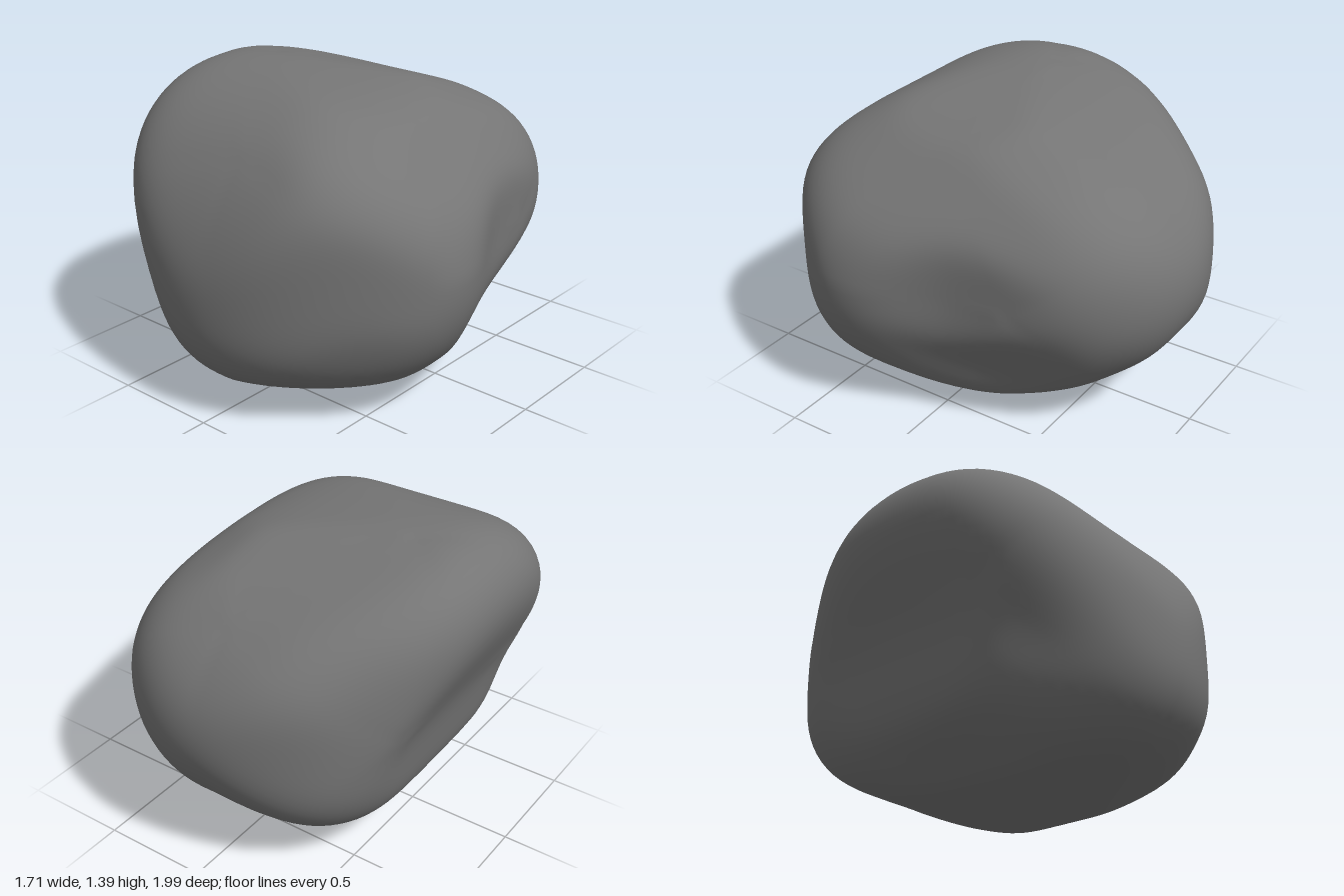
import * as THREE from 'three';
import { mergeVertices } from 'three/addons/utils/BufferGeometryUtils.js';

const CENTRE_Y = 0.69;

// A smooth closed outline around the boulder's centre, in a plane turned and tilted in degrees
function outline(turn, tilt, coords) {
  const a = THREE.MathUtils.degToRad(turn), e = THREE.MathUtils.degToRad(tilt);
  const knots = [];
  for (let i = 0; i < coords.length; i += 2) knots.push(new THREE.Vector3(coords[i], coords[i + 1], 0));
  return {
    u: new THREE.Vector3(Math.cos(a), 0, -Math.sin(a)),
    v: new THREE.Vector3(-Math.sin(a) * Math.sin(e), Math.cos(e), -Math.cos(a) * Math.sin(e)),
    points: new THREE.CatmullRomCurve3(knots, true).getPoints(48).slice(0, -1),
  };
}

// Width and height: high shoulder on one side, undercut below it
const face = outline(0, 0, [
  -.87, .49, -.73, .66, -.1, .67, .44, .55, .8, .21, .85, -.2, .51, -.6, -.07, -.69,
  -.54, -.54, -.68, -.06]);

// Depth and height: steep front, sloping back
const flank = outline(-90, 0, [
  1.01, -.19, .89, .23, .6, .56, .18, .69, -.37, .59, -.82, .36, -1.01, .03, -.8, -.39,
  -.05, -.69, .76, -.59, .95, -.45]);

// Width and depth
const plan = outline(0, -90, [
  .02, -1.01, -.48, -.79, -.81, -.27, -.87, .23, -.73, .74, -.02, 1, .48, .82, .87, .35,
  .71, -.13, .58, -.69, .3, -.94]);

// Slanted outlines trim the corners and the undercut
const frontSlant = outline(35, 25, [
  -1.03, .3, -.82, .68, -.4, .82, .65, .55, .85, .38, .86, .05, .59, -.41, .43, -.69,
  -.2, -.81, -.68, -.71, -.88, -.3]);
const backSlant = outline(215, 25, [
  -.87, -.02, -.8, .2, -.5, .5, -.02, .76, .4, .71, .97, .52, 1.01, .3, .84, -.1,
  .73, -.38, .33, -.68, -.05, -.78, -.52, -.64, -.82, -.32]);
const underSlant = outline(145, -25, [
  -.97, .05, -.72, .44, .15, .72, .76, .51, .87, .11, .77, -.34, .25, -.68, -.22, -.88,
  -.65, -.73, -.86, -.41]);

const outlines = [face, flank, plan, frontSlant, backSlant, underSlant];

// How far a direction can reach before its projection leaves the outline
function reach({ u, v, points }, dir) {
  const x = dir.dot(u), y = dir.dot(v);
  if (Math.hypot(x, y) < 1e-5) return Infinity;
  for (let i = 0; i < points.length; i++) {
    const a = points[i], b = points[(i + 1) % points.length];
    const area = a.x * b.y - a.y * b.x, s = Math.sign(area);
    if ((a.x * y - a.y * x) * s >= -1e-9 && (x * b.y - y * b.x) * s >= -1e-9) {
      return area / (x * (b.y - a.y) - y * (b.x - a.x));
    }
  }
  return Infinity;
}

// Average every radius with its neighbours to round the stone off
function soften(radii, index, passes) {
  const links = radii.map(() => new Set());
  for (let i = 0; i < index.count; i += 3) {
    for (let k = 0; k < 3; k++) {
      const a = index.getX(i + k), b = index.getX(i + (k + 1) % 3);
      links[a].add(b);
      links[b].add(a);
    }
  }
  for (let p = 0; p < passes; p++) {
    radii = radii.map((r, i) => {
      let sum = 0;
      for (const j of links[i]) sum += radii[j];
      return 0.4 * r + 0.6 * sum / links[i].size;
    });
  }
  return radii;
}

// Push a ball's vertices out to the nearest outline, wear the ridges down, then soften
function boulderGeometry() {
  const ball = new THREE.IcosahedronGeometry(1, 24);
  ball.deleteAttribute('uv');
  ball.deleteAttribute('normal');
  const geometry = mergeVertices(ball, 1e-4);
  const pos = geometry.attributes.position;
  const dirs = [];
  for (let i = 0; i < pos.count; i++) dirs.push(new THREE.Vector3().fromBufferAttribute(pos, i).normalize());

  const raw = dirs.map((d) => Math.min(...outlines.map((o) => reach(o, d))));
  const worn = soften(raw, geometry.index, 30).map((r, i) => Math.min(raw[i], r * 1.012));
  const radii = soften(worn, geometry.index, 8);
  dirs.forEach((d, i) => pos.setXYZ(i, d.x * radii[i], d.y * radii[i], d.z * radii[i]));
  geometry.computeVertexNormals();
  return geometry;
}

export function createModel() {
  const group = new THREE.Group();
  group.name = 'rock';
  const stone = new THREE.MeshStandardMaterial({ color: 0x757575 });
  stone.name = 'stone grey';
  const boulder = new THREE.Mesh(boulderGeometry(), stone);
  boulder.name = 'boulder';
  boulder.position.y = CENTRE_Y;
  group.add(boulder);
  return group;
}
